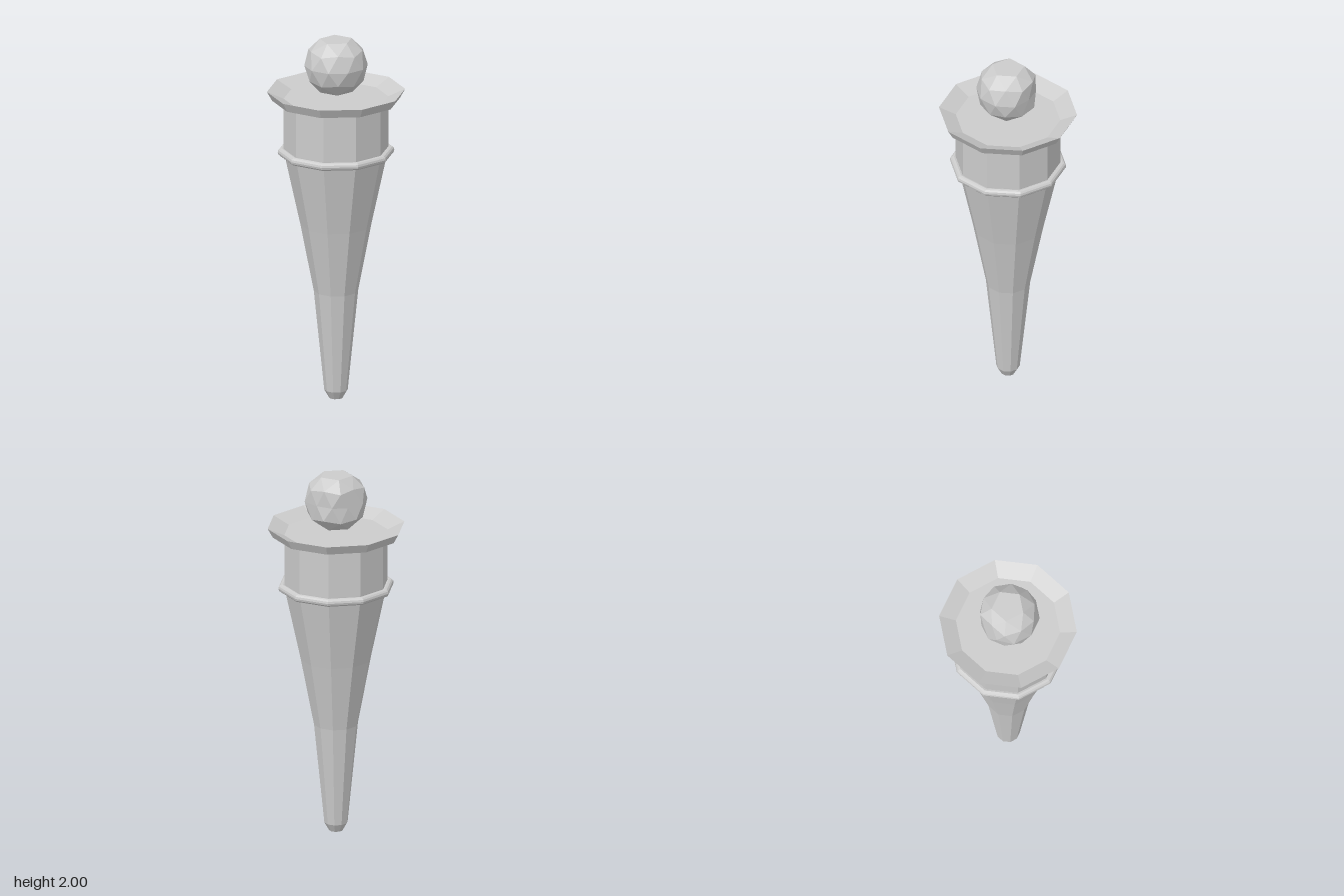
import * as THREE from 'three';

const SIDES = 10;

function makeMaterial() {
  return new THREE.MeshStandardMaterial({ color: 0xcccccc, flatShading: true });
}

// Ten-sided turned part from [radius, height] pairs, listed bottom to top
function turned(name, profile) {
  const points = profile.map(([r, y]) => new THREE.Vector2(r, y));
  const mesh = new THREE.Mesh(new THREE.LatheGeometry(points, SIDES), makeMaterial());
  mesh.name = name;
  return mesh;
}

// Faceted ball with a vertex on top, flattened where it passes the dent planes
function roughBall(radius, dents) {
  const geometry = new THREE.IcosahedronGeometry(radius, 1);
  geometry.rotateZ(-Math.atan(2 / (1 + Math.sqrt(5))));
  const position = geometry.attributes.position;
  const p = new THREE.Vector3();
  for (let i = 0; i < position.count; i++) {
    p.fromBufferAttribute(position, i);
    for (const [x, y, z, limit] of dents) {
      const d = new THREE.Vector3(x, y, z).normalize();
      const excess = p.dot(d) - limit;
      if (excess > 0) p.addScaledVector(d, -excess);
    }
    position.setXYZ(i, p.x, p.y, p.z);
  }
  geometry.computeVertexNormals();
  return geometry;
}

export function createModel() {
  const group = new THREE.Group();

  // Tapering handle with a blunt tip
  group.add(turned('handle', [[0, 0], [0.037, 0], [0.063, 0.045], [0.119, 0.6], [0.19, 0.97], [0.278, 1.375]]));

  // Straight collar above the handle
  group.add(turned('collar', [[0.278, 1.375], [0.28, 1.4], [0.28, 1.667]]));

  // Flared rim with a shallow dish inside
  group.add(turned('dish', [[0.28, 1.667], [0.342, 1.667], [0.37, 1.717], [0.28, 1.677], [0, 1.677]]));

  // Round band, corners lined up with the handle
  const bandGeometry = new THREE.TorusGeometry(0.29, 0.022, 12, SIDES);
  bandGeometry.rotateX(Math.PI / 2).rotateY(Math.PI / 2);
  const band = new THREE.Mesh(bandGeometry, makeMaterial());
  band.name = 'band';
  band.position.y = 1.378;
  group.add(band);

  // Rough stone resting in the dish
  const stone = new THREE.Mesh(roughBall(0.17, [
    [0, 1, 0, 0.14],
    [-1, 0.15, -0.1, 0.138],
    [-0.6, 0, -0.8, 0.15],
    [0, 0, -1, 0.148],
  ]), makeMaterial());
  stone.name = 'stone';
  stone.position.y = 1.86;
  group.add(stone);

  return group;
}
